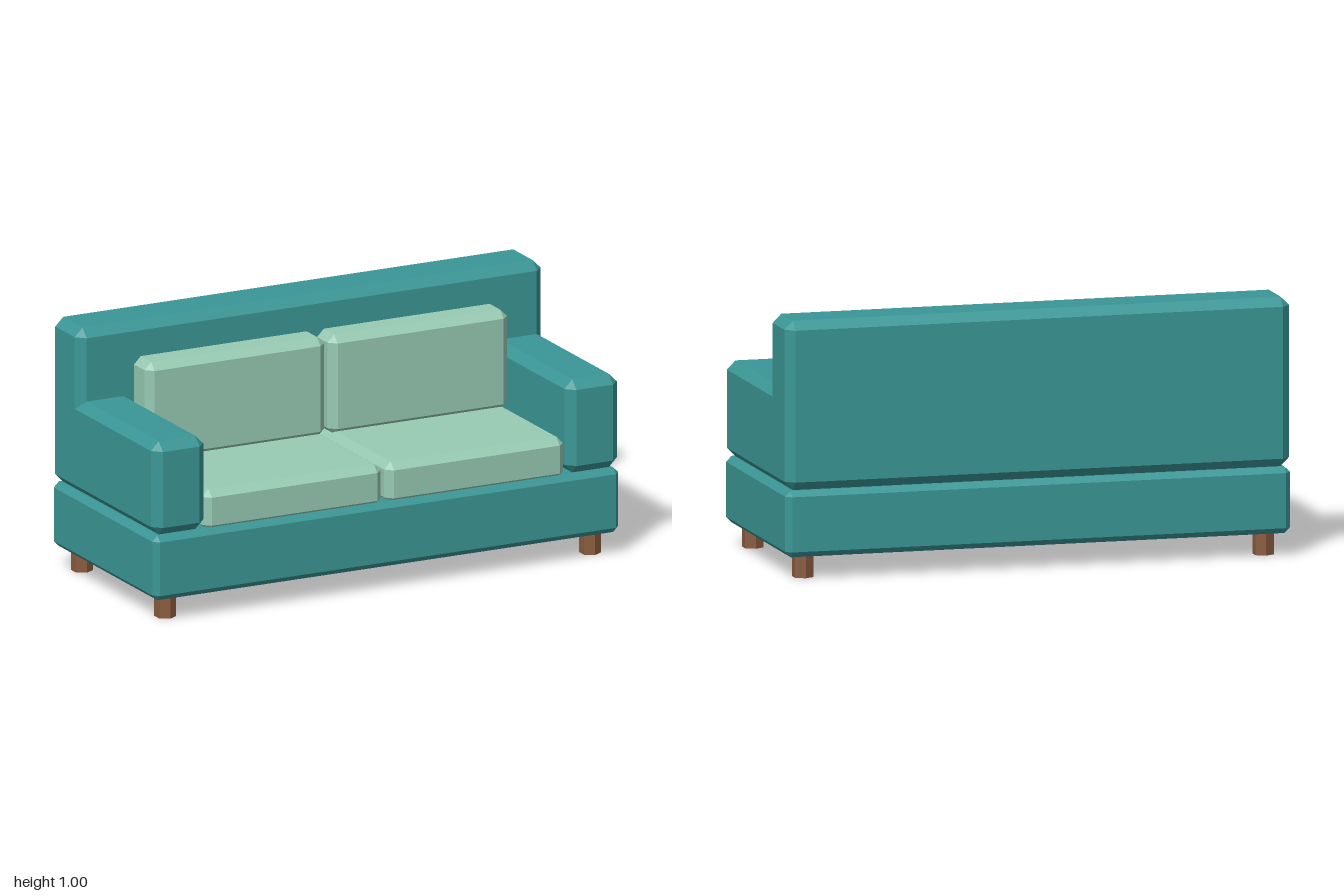
import * as THREE from 'three';
import { ConvexGeometry } from 'three/addons/geometries/ConvexGeometry.js';

const teal = new THREE.MeshStandardMaterial({ color: 0x3a9796 });
teal.name = 'teal fabric';
const mint = new THREE.MeshStandardMaterial({ color: 0x98cab4 });
mint.name = 'mint cushion fabric';
const wood = new THREE.MeshStandardMaterial({ color: 0x8a5c3e });
wood.name = 'brown wood';

// Box between two corners with every edge cut by a chamfer c
function chamferBox(name, min, max, c, material) {
  const points = [];
  const centre = min.map((v, i) => (v + max[i]) / 2);
  const half = min.map((v, i) => (max[i] - v) / 2);
  for (const sx of [-1, 1]) for (const sy of [-1, 1]) for (const sz of [-1, 1]) {
    for (let face = 0; face < 3; face++) {
      const p = [sx, sy, sz].map((s, i) => centre[i] + s * (half[i] - (i === face ? 0 : c)));
      points.push(new THREE.Vector3(...p));
    }
  }
  const mesh = new THREE.Mesh(new ConvexGeometry(points), material);
  mesh.name = name;
  return mesh;
}

export function createModel() {
  const sofa = new THREE.Group();
  sofa.name = 'sofa';

  // Plinth and backrest
  sofa.add(chamferBox('base', [-1, 0.088, -0.428], [1, 0.345, 0.428], 0.022, teal));
  sofa.add(chamferBox('backrest', [-1, 0.345, -0.428], [1, 1, -0.2], 0.034, teal));

  // Mirrored arms, cushions and legs
  const legGeometry = new THREE.CylinderGeometry(0.042, 0.042, 0.1, 6).toNonIndexed();
  legGeometry.computeVertexNormals();
  for (const side of [-1, 1]) {
    const label = side > 0 ? 'left' : 'right';
    const pair = (name, x0, x1, y0, y1, z0, z1, c, material) => {
      const xs = [side * x0, side * x1].sort((a, b) => a - b);
      sofa.add(chamferBox(label + name, [xs[0], y0, z0], [xs[1], y1, z1], c, material));
    };
    pair('Arm', 0.775, 1, 0.345, 0.715, -0.428, 0.428, 0.034, teal);
    pair('SeatCushion', 0.008, 0.775, 0.325, 0.492, -0.205, 0.41, 0.028, mint);
    pair('BackCushion', 0.008, 0.778, 0.475, 0.873, -0.2, -0.056, 0.029, mint);

    // Hexagonal feet
    for (const z of [-0.343, 0.343]) {
      const leg = new THREE.Mesh(legGeometry, wood);
      leg.name = label + (z > 0 ? 'FrontLeg' : 'BackLeg');
      leg.position.set(side * 0.912, 0.05, z);
      sofa.add(leg);
    }
  }
  return sofa;
}
